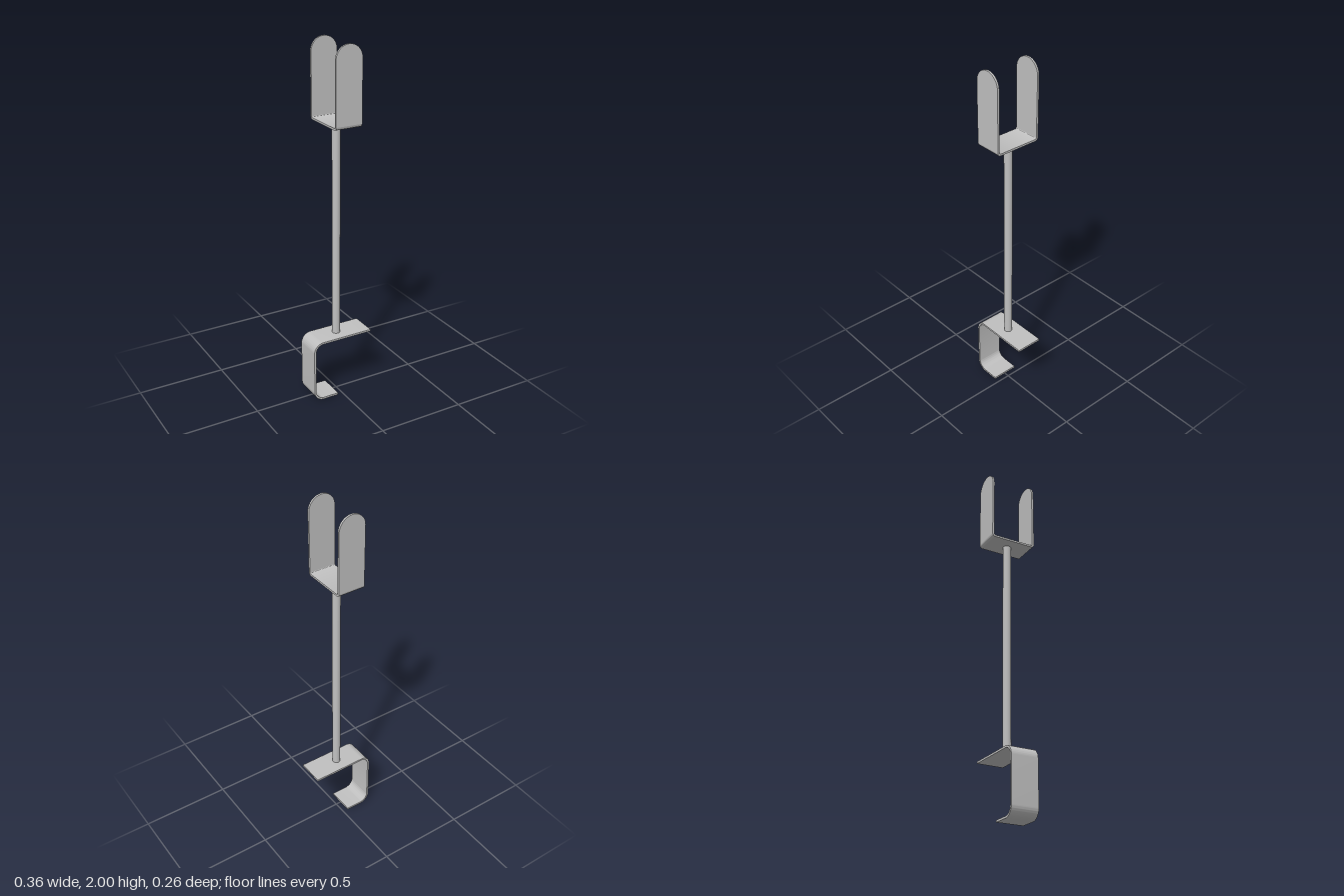
import * as THREE from 'three';
import { toCreasedNormals } from 'three/addons/utils/BufferGeometryUtils.js';

const T = 0.011;      // sheet thickness
const HALF = 0.076;   // half the strap width
const STRAP_TOP = 0.362, TRAY_Y = 1.572, BEND = 0.018;

// Extrude a shape evenly about z = 0, smooth on bends and sharp on edges
function slab(shape, depth) {
  const g = new THREE.ExtrudeGeometry(shape, { depth, bevelEnabled: false, curveSegments: 16 });
  g.translate(0, 0, -depth / 2);
  return toCreasedNormals(g, 0.5);
}

export function createModel() {
  const model = new THREE.Group();
  model.name = 'postHolder';
  const steel = new THREE.MeshStandardMaterial({ color: 0xc0c0c0 });
  steel.name = 'grey steel';
  const add = (name, geometry) => {
    const mesh = new THREE.Mesh(geometry, steel);
    mesh.name = name;
    model.add(mesh);
    return mesh;
  };

  // C-shaped clamp: long top arm, rounded back, short lower lip
  const L = -0.18, R = 0.058, r = R - T, cx = L + R, P = Math.PI;
  const c = new THREE.Shape();
  c.moveTo(0.18, STRAP_TOP);
  c.lineTo(cx, STRAP_TOP);
  c.absarc(cx, STRAP_TOP - R, R, P / 2, P, false);
  c.absarc(cx, R, R, P, 1.5 * P, false);
  c.lineTo(-0.03, 0);
  c.lineTo(-0.03, T);
  c.lineTo(cx, T);
  c.absarc(cx, R, r, 1.5 * P, P, true);
  c.absarc(cx, STRAP_TOP - R, r, P, P / 2, true);
  c.lineTo(0.18, STRAP_TOP - T);
  c.closePath();
  add('clamp', slab(c, HALF * 2));

  // Round post
  const height = TRAY_Y - STRAP_TOP;
  const post = add('post', new THREE.CylinderGeometry(0.0225, 0.0225, height, 40));
  post.position.y = STRAP_TOP + height / 2;

  // Cradle floor with its two bends, drawn across z
  const W = 0.132, b = W - BEND, ri = BEND - T, y = TRAY_Y + BEND;
  const u = new THREE.Shape();
  u.moveTo(-W, y);
  u.absarc(-b, y, BEND, P, 1.5 * P, false);
  u.absarc(b, y, BEND, 1.5 * P, 2 * P, false);
  u.lineTo(W - T, y);
  u.absarc(b, y, ri, 2 * P, 1.5 * P, true);
  u.absarc(-b, y, ri, 1.5 * P, P, true);
  u.closePath();
  add('cradleFloor', slab(u, HALF * 2).rotateY(-P / 2));

  // Round-topped cradle sides
  const side = new THREE.Shape();
  side.moveTo(-HALF, y);
  side.lineTo(HALF, y);
  side.absarc(0, 2 - HALF, HALF, 0, P, false);
  side.closePath();
  const sideGeometry = slab(side, T);
  for (const [name, s] of [['cradleFront', 1], ['cradleBack', -1]]) {
    add(name, sideGeometry).position.z = s * (W - T / 2);
  }
  return model;
}
